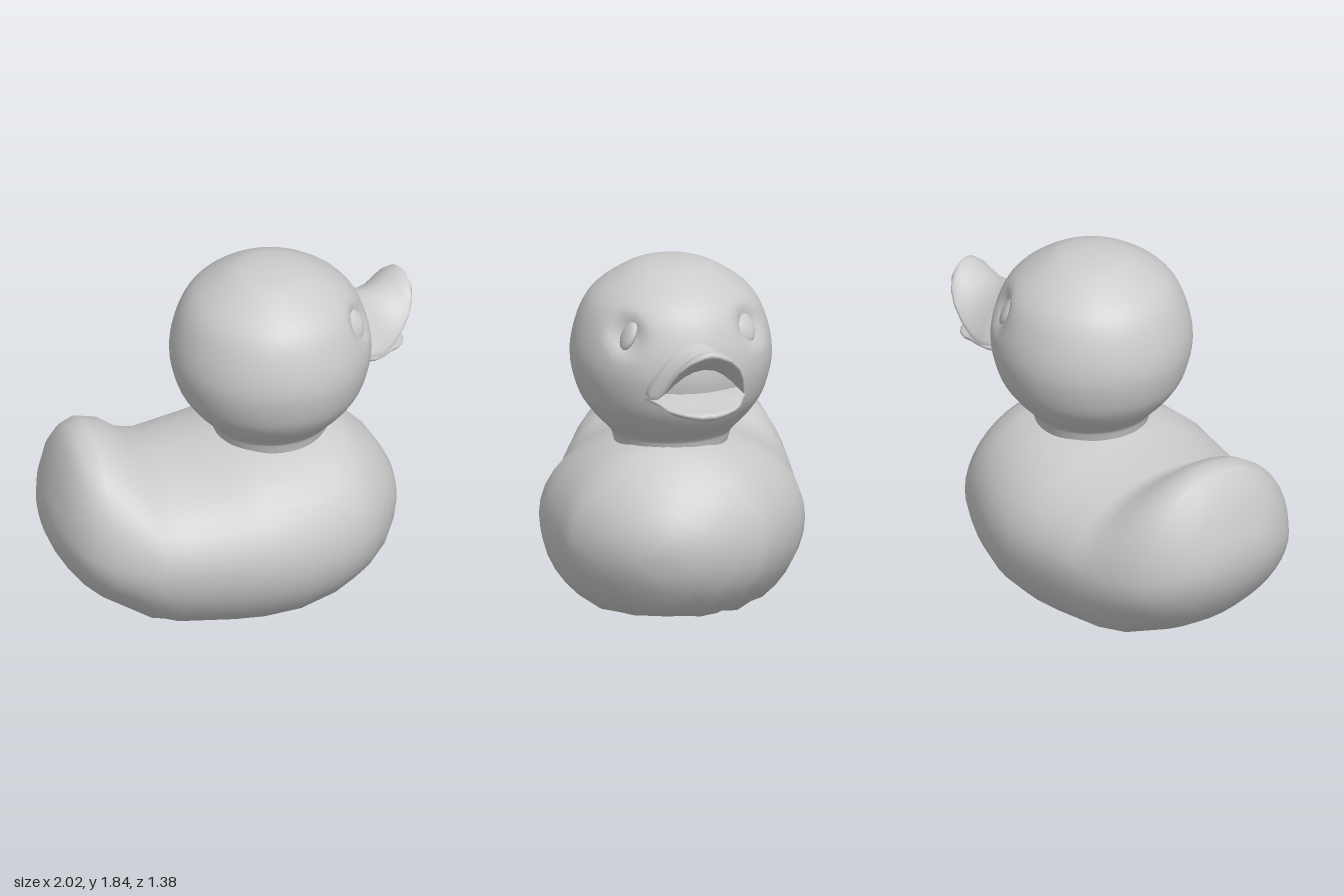
import * as THREE from 'three';
import { mergeVertices } from 'three/addons/utils/BufferGeometryUtils.js';

const material = new THREE.MeshStandardMaterial({ color: 0xcccccc, side: THREE.DoubleSide });

function addMesh(parent, name, geometry) {
  const mesh = new THREE.Mesh(geometry, material);
  mesh.name = name;
  parent.add(mesh);
  return mesh;
}

// Skins closed cross-sections along x; section(station, cos, sin) returns [y, z].
function loft(stations, segments, section) {
  const pos = [], index = [], n = segments;
  for (const s of stations) {
    for (let j = 0; j < n; j++) {
      const a = (j / n) * Math.PI * 2;
      pos.push(s[0], ...section(s, Math.cos(a), Math.sin(a)));
    }
  }
  for (let i = 0; i < stations.length - 1; i++) {
    for (let j = 0; j < n; j++) {
      const k = (j + 1) % n, a = i * n + j, b = a + n, c = i * n + k, d = c + n;
      index.push(a, b, c, b, d, c);
    }
  }
  // end caps
  for (const end of [0, stations.length - 1]) {
    const centre = pos.length / 3, s = stations[end];
    const p = section(s, 0, 1), q = section(s, 0, -1);
    pos.push(s[0], (p[0] + q[0]) / 2, 0);
    for (let j = 0; j < n; j++) {
      const a = end * n + j, b = end * n + (j + 1) % n;
      if (end === 0) index.push(centre, a, b);
      else index.push(centre, b, a);
    }
  }
  const g = new THREE.BufferGeometry();
  g.setAttribute('position', new THREE.Float32BufferAttribute(pos, 3));
  g.setIndex(index);
  g.computeVertexNormals();
  return g;
}

// Body stations: x, bottom, widest height, top, half width (cut flat at y = 0)
function bodyGeometry() {
  const stations = [
    [-1.0, 0.47, 0.53, 0.60, 0.09], [-0.985, 0.39, 0.52, 0.67, 0.2],
    [-0.95, 0.31, 0.51, 0.79, 0.31], [-0.9, 0.23, 0.49, 0.92, 0.4],
    [-0.84, 0.155, 0.47, 0.98, 0.465], [-0.76, 0.085, 0.45, 1.0, 0.525],
    [-0.64, 0.01, 0.43, 0.955, 0.575], [-0.52, -0.07, 0.41, 0.85, 0.61],
    [-0.4, -0.12, 0.4, 0.81, 0.63], [-0.1, -0.15, 0.4, 0.87, 0.67],
    [0.05, -0.15, 0.4, 0.91, 0.69], [0.25, -0.14, 0.4, 0.92, 0.67],
    [0.45, -0.09, 0.4, 0.92, 0.6], [0.56, -0.03, 0.41, 0.89, 0.55],
    [0.64, 0.02, 0.42, 0.83, 0.505], [0.75, 0.09, 0.42, 0.73, 0.37],
    [0.82, 0.2, 0.42, 0.62, 0.25], [0.855, 0.28, 0.42, 0.55, 0.16],
    [0.872, 0.37, 0.42, 0.48, 0.07],
  ];
  return loft(stations, 40, ([, bottom, mid, top, half], c, s) => [
    Math.max(0, mid + s * (s > 0 ? top - mid : mid - bottom)), half * c,
  ]);
}

// Bill stations: x, upper surface height, half width, drop of the side edges, thickness
function billGeometry(stations) {
  return loft(stations, 24, ([, top, half, drop, thick], c, s) => [
    top - thick / 2 - drop * c * c + s * thick / 2, half * c,
  ]);
}

// Turned head and neck with a shallow dent around each eye
function headGeometry(eyes) {
  const profile = new THREE.SplineCurve([
    [0.28, 0.8], [0.305, 0.9], [0.325, 0.94], [0.41, 1.03], [0.485, 1.15], [0.525, 1.34],
    [0.485, 1.54], [0.4, 1.68], [0.23, 1.795], [0.1, 1.83], [0, 1.835],
  ].map(([r, y]) => new THREE.Vector2(r, y))).getPoints(44);
  profile[44].x = 0;
  let g = new THREE.LatheGeometry(profile, 64);
  g.deleteAttribute('uv');
  g.deleteAttribute('normal');
  g = mergeVertices(g, 1e-4);
  const p = g.attributes.position, v = new THREE.Vector3();
  const centre = new THREE.Vector3(0, 1.34, 0);
  for (let i = 0; i < p.count; i++) {
    v.fromBufferAttribute(p, i);
    for (const eye of eyes) {
      const d = v.distanceTo(eye);
      const push = 0.05 * Math.exp(-((d / 0.09) ** 4));
      v.addScaledVector(centre.clone().sub(v).normalize(), push);
    }
    p.setXYZ(i, v.x, v.y, v.z);
  }
  g.computeVertexNormals();
  return g;
}

export function createModel() {
  const duck = new THREE.Group();
  duck.name = 'toyDuck';
  addMesh(duck, 'body', bodyGeometry());

  // head group, turned a little to one side
  const head = new THREE.Group();
  head.name = 'headGroup';
  head.position.x = 0.22;
  head.rotation.y = 0.3;
  duck.add(head);

  const eyes = [1, -1].map(side => new THREE.Vector3(0.34, 1.54, 0.34 * side));
  addMesh(head, 'head', headGeometry(eyes));

  // oval eyes sunk in their sockets
  eyes.forEach((eye, i) => {
    const mesh = addMesh(head, i ? 'rightEye' : 'leftEye', new THREE.SphereGeometry(1, 24, 16));
    mesh.scale.set(0.065, 0.085, 0.03);
    const out = eye.clone().sub(new THREE.Vector3(0, 1.34, 0)).normalize();
    mesh.position.copy(eye).addScaledVector(out, -0.045);
    mesh.lookAt(mesh.position.clone().add(out));
  });

  // upper bill: arched, flaring up at the tip
  addMesh(head, 'upperBill', billGeometry([
    [0.4, 1.54, 0.23, 0.24, 0.1], [0.46, 1.53, 0.26, 0.24, 0.09], [0.53, 1.495, 0.26, 0.22, 0.08],
    [0.6, 1.475, 0.235, 0.19, 0.07], [0.67, 1.485, 0.215, 0.15, 0.07], [0.73, 1.515, 0.195, 0.11, 0.065],
    [0.77, 1.54, 0.165, 0.075, 0.06], [0.8, 1.548, 0.115, 0.04, 0.045], [0.812, 1.535, 0.05, 0.01, 0.02],
  ]));

  // lower bill: shallow scoop with raised edges
  addMesh(head, 'lowerBill', billGeometry([
    [0.4, 1.25, 0.24, -0.03, 0.09], [0.48, 1.245, 0.27, -0.03, 0.085], [0.54, 1.24, 0.26, -0.03, 0.075],
    [0.61, 1.225, 0.225, -0.03, 0.065], [0.67, 1.21, 0.195, -0.025, 0.06], [0.72, 1.205, 0.155, -0.02, 0.05],
    [0.755, 1.205, 0.1, -0.01, 0.045], [0.77, 1.195, 0.04, 0, 0.02],
  ]));
  return duck;
}
